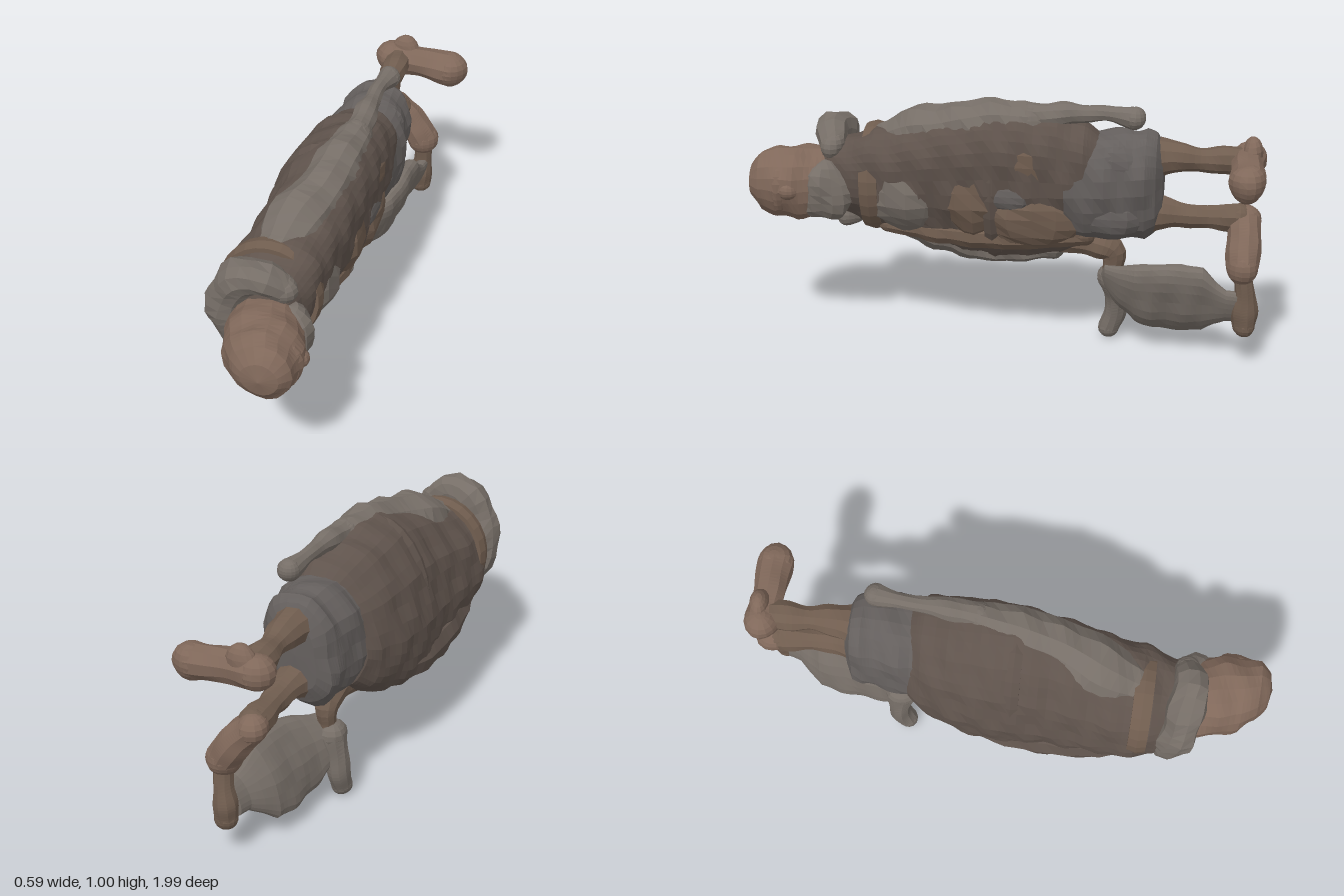
import * as THREE from 'three';

const mat = (color) => new THREE.MeshStandardMaterial({ color, flatShading: true });
const brown = mat(0x705d4f), darkCloth = mat(0x5f534c), grey = mat(0x766e67), skin = mat(0x80685a), slate = mat(0x645f5d);

// Smooth repeatable bumps for worn, lumpy surfaces
const bump = (x, y, z) => Math.sin(x * 31 + z * 23) * Math.sin(y * 29 - z * 17) + 0.6 * Math.sin(z * 47 + y * 19);

export function createModel() {
  const group = new THREE.Group();
  group.name = 'recliningFigure';

  const add = (name, geometry, material) => {
    const mesh = new THREE.Mesh(geometry, material);
    mesh.name = name;
    group.add(mesh);
    return mesh;
  };

  // Loft through rounded rings [z, centreX, centreY, radiusX, radiusY], ordered from +z to -z
  const loft = (name, rings, material, { lean = 0, rough = 0.007, sides = 26, power = 1 } = {}) => {
    const pos = [], index = [], steps = (rings.length - 1) * 4;
    for (let i = 0; i <= steps; i++) {
      const k = Math.min(Math.floor(i / 4), rings.length - 2);
      const [z, cx, cy, rx, ry] = rings[k].map((v, n) => THREE.MathUtils.lerp(v, rings[k + 1][n], i / 4 - k));
      for (let j = 0; j < sides; j++) {
        const a = (j / sides) * Math.PI * 2;
        const [c, s] = [Math.cos(a), Math.sin(a)].map((v) => Math.sign(v) * Math.abs(v) ** power);
        const x = cx + rx * c + lean * ry * s, y = cy + ry * s;
        const b = rough * bump(x, y, z) * Math.min(1, rx * 12);
        pos.push(x + b * c, y + b * s, z);
        const n = (j + 1) % sides, p = i * sides;
        if (i < steps) index.push(p + j, p + sides + j, p + n, p + n, p + sides + j, p + sides + n);
      }
    }
    const g = new THREE.BufferGeometry();
    g.setAttribute('position', new THREE.Float32BufferAttribute(pos, 3));
    g.setIndex(index);
    g.computeVertexNormals();
    add(name, g, material);
  };

  // Lumpy ellipsoid
  const blob = (name, [x, y, z], [rx, ry, rz], material, rough = 0.006) => {
    const g = new THREE.SphereGeometry(1, 14, 10);
    g.scale(rx, ry, rz);
    const p = g.attributes.position;
    for (let i = 0; i < p.count; i++) {
      const v = new THREE.Vector3().fromBufferAttribute(p, i);
      v.addScaledVector(v.clone().normalize(), rough * bump(v.x + x, v.y + y, v.z + z));
      p.setXYZ(i, v.x, v.y, v.z);
    }
    g.computeVertexNormals();
    add(name, g, material).position.set(x, y, z);
  };

  // Limb of changing thickness along points [x, y, z, radius], with rounded ends
  const limb = (name, points, material, rough = 0.005) => {
    const curve = new THREE.CatmullRomCurve3(points.map(([x, y, z]) => new THREE.Vector3(x, y, z)));
    const radii = new THREE.SplineCurve(points.map((p, i) => new THREE.Vector2(i, p[3])));
    const segments = 18, sides = 10;
    const g = new THREE.TubeGeometry(curve, segments, 1, sides);
    const p = g.attributes.position;
    for (let i = 0; i < p.count; i++) {
      const u = Math.floor(i / (sides + 1)) / segments;
      const centre = curve.getPointAt(u), v = new THREE.Vector3().fromBufferAttribute(p, i).sub(centre);
      const r = radii.getPoint(curve.getUtoTmapping(u)).y;
      const at = centre.clone().addScaledVector(v, r);
      at.addScaledVector(v, rough * bump(at.x, at.y, at.z));
      p.setXYZ(i, at.x, at.y, at.z);
    }
    g.computeVertexNormals();
    add(name, g, material);
    [points[0], points[points.length - 1]].forEach(([x, y, z, r]) => blob(name + 'End', [x, y, z], [r, r, r], material, rough));
  };

  // Torso and long coat, leaning with its upper side towards +x
  loft('coat', [
    [0.73, -0.07, 0.64, 0, 0], [0.7, -0.08, 0.64, 0.11, 0.14], [0.6, -0.09, 0.635, 0.16, 0.175],
    [0.5, -0.09, 0.635, 0.185, 0.21], [0.4, -0.085, 0.63, 0.185, 0.23], [0.28, -0.07, 0.635, 0.185, 0.275],
    [0.16, -0.06, 0.64, 0.185, 0.305], [0.02, -0.055, 0.65, 0.195, 0.33], [-0.1, -0.05, 0.65, 0.195, 0.32],
    [-0.22, -0.04, 0.655, 0.185, 0.295], [-0.32, -0.02, 0.66, 0.17, 0.255], [-0.37, -0.01, 0.67, 0.145, 0.215],
    [-0.39, 0, 0.67, 0, 0],
  ], darkCloth, { lean: 0.2, sides: 36, power: 0.9 });

  // Coat gathered at the lower back
  limb('coatBackFold', [[-0.17, 0.48, 0.48, 0.08], [-0.19, 0.44, 0.34, 0.085], [-0.19, 0.42, 0.18, 0.085],
    [-0.17, 0.42, 0, 0.09], [-0.13, 0.45, -0.2, 0.08]], darkCloth);

  // Hips and baggy trousers, tapering towards the legs
  loft('trousers', [
    [-0.25, 0, 0.66, 0.15, 0.2], [-0.4, 0.005, 0.67, 0.165, 0.22], [-0.5, 0.005, 0.675, 0.145, 0.215],
    [-0.55, 0.005, 0.68, 0.145, 0.22], [-0.59, 0, 0.685, 0.125, 0.19], [-0.615, 0, 0.69, 0.08, 0.14], [-0.62, 0, 0.69, 0, 0],
  ], slate, { lean: 0.1, power: 0.85 });

  // Head
  loft('head', [
    [0.995, 0.02, 0.635, 0, 0], [0.98, 0.02, 0.635, 0.065, 0.065], [0.94, 0.01, 0.63, 0.115, 0.115],
    [0.88, -0.01, 0.625, 0.14, 0.14], [0.8, -0.02, 0.62, 0.155, 0.145], [0.72, -0.04, 0.625, 0.145, 0.14],
    [0.64, -0.05, 0.63, 0.11, 0.12],
  ], skin, { sides: 18 });
  blob('nose', [0.11, 0.62, 0.815], [0.035, 0.035, 0.04], skin);
  blob('beard', [0.04, 0.61, 0.69], [0.085, 0.12, 0.11], grey, 0.01);
  blob('brow', [0.075, 0.62, 0.86], [0.06, 0.1, 0.04], skin);

  // Rolled scarf around the back of the neck
  limb('scarf', [[0, 0.78, 0.66, 0.05], [-0.06, 0.82, 0.68, 0.065], [-0.14, 0.805, 0.67, 0.075], [-0.195, 0.72, 0.66, 0.075],
    [-0.215, 0.62, 0.64, 0.075], [-0.18, 0.53, 0.62, 0.07], [-0.06, 0.49, 0.61, 0.055]], grey, 0.008);
  const ring = (name, [x, y, z], rx, ry, tube, material) => {
    const m = add(name, new THREE.TorusGeometry(1, 0.09, 6, 26), material);
    m.scale.set(rx, ry, tube * 10);
    m.rotation.z = -0.12;
    m.position.set(x, y, z);
  };
  ring('collar', [-0.09, 0.64, 0.51], 0.18, 0.2, 0.045, brown);
  ring('belt', [-0.05, 0.65, 0.03], 0.18, 0.295, 0.035, darkCloth);

  // Chest, layered coat flaps and belt pouch
  blob('chest', [0, 0.63, 0.36], [0.12, 0.18, 0.19], grey, 0.009);
  blob('waist', [0.03, 0.65, 0.1], [0.115, 0.2, 0.15], brown, 0.009);
  blob('upperFlap', [0.05, 0.77, -0.13], [0.11, 0.15, 0.22], brown, 0.009);
  blob('lowerFlap', [0.045, 0.56, -0.13], [0.11, 0.13, 0.22], brown, 0.009);
  blob('beltPouch', [0.09, 0.65, -0.05], [0.065, 0.08, 0.11], slate);
  limb('coatEdge', [[-0.02, 0.47, 0.45, 0.04], [0.02, 0.46, 0.2, 0.055], [0.035, 0.46, -0.05, 0.06], [0.04, 0.48, -0.32, 0.05]], brown);
  [0.58, 0.78].forEach((y) => blob('trouserFold', [0.06, y, -0.43], [0.1, 0.1, 0.14], slate));

  // Raised arm along the top, its sleeve narrowing to a slim rod
  limb('upperSleeve', [[-0.08, 0.77, 0.48, 0.08], [-0.05, 0.82, 0.34, 0.115], [0, 0.86, 0.2, 0.1],
    [0.03, 0.91, 0.02, 0.09], [0.05, 0.92, -0.12, 0.065]], grey, 0.008);
  limb('upperRod', [[0.05, 0.94, -0.12, 0.05], [0.055, 0.955, -0.22, 0.045], [0.055, 0.965, -0.36, 0.028],
    [0.065, 0.96, -0.47, 0.035], [0.07, 0.955, -0.51, 0.042]], grey);

  // Lower arm, reaching to the carried bag
  limb('lowerSleeve', [[-0.1, 0.48, 0.42, 0.08], [-0.09, 0.42, 0.22, 0.085], [-0.08, 0.385, 0.02, 0.08], [-0.07, 0.4, -0.18, 0.07]], grey, 0.008);
  limb('lowerHand', [[-0.06, 0.43, -0.2, 0.06], [-0.03, 0.42, -0.36, 0.055], [-0.03, 0.39, -0.43, 0.048], [-0.03, 0.31, -0.43, 0.04]], brown);

  // Legs, flaring at the knees, and feet
  limb('upperLeg', [[0.01, 0.78, -0.54, 0.09], [0.015, 0.795, -0.63, 0.067], [0.015, 0.79, -0.74, 0.048], [0.01, 0.79, -0.92, 0.06]], brown);
  limb('upperFoot', [[-0.02, 0.79, -0.93, 0.067], [0.08, 0.785, -0.925, 0.062], [0.16, 0.78, -0.925, 0.064], [0.23, 0.775, -0.925, 0.07]], skin);
  blob('upperHeel', [0.03, 0.82, -0.94], [0.06, 0.07, 0.04], skin);
  limb('lowerLeg', [[0.01, 0.575, -0.54, 0.09], [0.02, 0.57, -0.63, 0.062], [0.02, 0.565, -0.74, 0.046], [0.015, 0.565, -0.91, 0.058]], brown);
  limb('lowerFoot', [[0.01, 0.56, -0.925, 0.06], [0.06, 0.51, -0.925, 0.063], [0.1, 0.455, -0.925, 0.065], [0.125, 0.41, -0.925, 0.064]], skin);

  // Bag hanging beneath, tilted with its lower edge towards -x
  loft('bag', [
    [-0.38, -0.03, 0.28, 0, 0], [-0.4, -0.03, 0.28, 0.04, 0.06], [-0.46, -0.01, 0.25, 0.055, 0.1], [-0.52, 0.02, 0.235, 0.06, 0.13],
    [-0.59, 0.04, 0.235, 0.06, 0.15], [-0.7, 0.05, 0.24, 0.06, 0.155], [-0.78, 0.06, 0.24, 0.055, 0.145],
    [-0.83, 0.08, 0.24, 0.045, 0.1], [-0.87, 0.1, 0.24, 0.035, 0.07], [-0.92, 0.11, 0.24, 0.035, 0.07], [-0.93, 0.11, 0.24, 0, 0],
  ], grey, { lean: 0.35, sides: 22, power: 0.9 });
  limb('bagHorn', [[-0.05, 0.27, -0.43, 0.06], [-0.07, 0.2, -0.44, 0.05], [-0.075, 0.12, -0.44, 0.045], [-0.085, 0.045, -0.42, 0.04]], grey);
  limb('bagTail', [[0.115, 0.17, -0.94, 0.042], [0.12, 0.23, -0.94, 0.05], [0.125, 0.3, -0.94, 0.04], [0.125, 0.38, -0.93, 0.03]], brown);

  return group;
}
